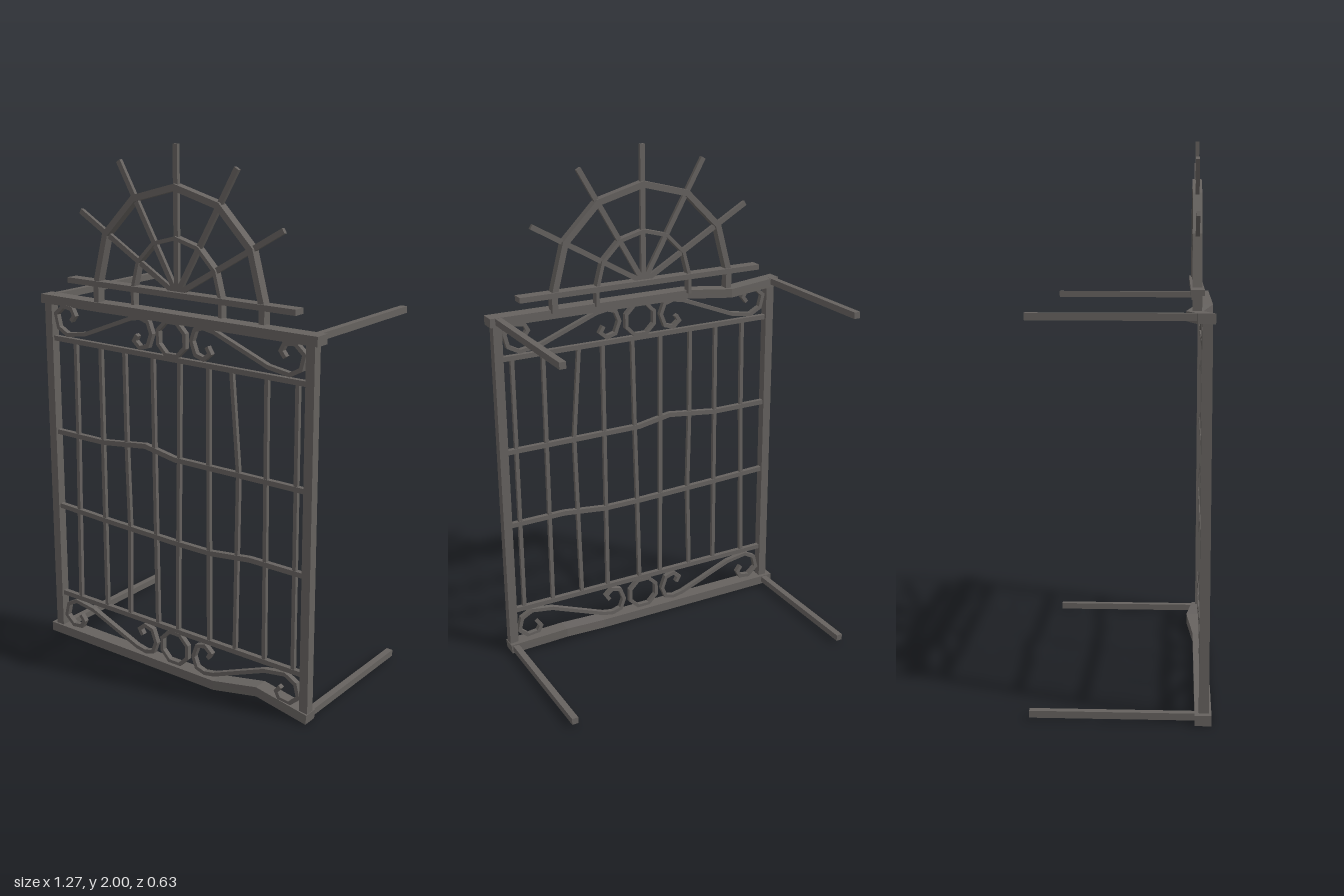
import * as THREE from 'three';

const material = new THREE.MeshStandardMaterial({ color: 0x66625f, flatShading: true });
const GRILLE_Z = 0.29, FAN_Z = 0.258;

// Sweeps a rectangular section (w in the xy plane, d along z) along a mitred path of [x, y, zOffset]
function bar(name, path, w, d, z = GRILLE_Z, closed = false) {
  const n = path.length, pos = [], index = [];
  const normal = (a, b) => new THREE.Vector2(a[1] - b[1], b[0] - a[0]).normalize();
  path.forEach((p, i) => {
    const prev = path[closed ? (i + n - 1) % n : Math.max(i - 1, 0)];
    const next = path[closed ? (i + 1) % n : Math.min(i + 1, n - 1)];
    const n1 = prev === p ? normal(p, next) : normal(prev, p);
    const n2 = next === p ? n1 : normal(p, next);
    const m = n1.clone().add(n2).normalize();
    m.multiplyScalar(w / 2 / Math.max(0.5, m.dot(n1)));
    const zc = z + (p[2] || 0);
    for (const [s, t] of [[1, 1], [-1, 1], [-1, -1], [1, -1]])
      pos.push(p[0] + m.x * s, p[1] + m.y * s, zc + t * d / 2);
  });
  for (let i = 0; i < (closed ? n : n - 1); i++)
    for (let k = 0; k < 4; k++) {
      const a = i * 4 + k, b = i * 4 + (k + 1) % 4;
      const c = ((i + 1) % n) * 4 + (k + 1) % 4, e = ((i + 1) % n) * 4 + k;
      index.push(a, b, c, a, c, e);
    }
  if (!closed) {
    const l = (n - 1) * 4;
    index.push(0, 2, 1, 0, 3, 2, l, l + 1, l + 2, l, l + 2, l + 3);
  }
  const g = new THREE.BufferGeometry();
  g.setAttribute('position', new THREE.Float32BufferAttribute(pos, 3));
  g.setIndex(index);
  const flat = g.toNonIndexed();
  flat.computeVertexNormals();
  const mesh = new THREE.Mesh(flat, material);
  mesh.name = name;
  return mesh;
}

function box(name, w, h, d, x, y, z) {
  const mesh = new THREE.Mesh(new THREE.BoxGeometry(w, h, d), material);
  mesh.position.set(x, y, z);
  mesh.name = name;
  return mesh;
}

function group(name, ...parts) {
  const g = new THREE.Group();
  g.name = name;
  g.add(...parts);
  return g;
}

// Outer frame: dented rails, posts and wall arms
function frame() {
  const g = group('frame',
    bar('topRail', [[-0.625, 1.398], [-0.38, 1.387, -0.037], [-0.2, 1.398], [0.63, 1.398]], 0.035, 0.06, 0.287),
    bar('bottomRail', [[-0.635, 0.02], [0.2, 0.021], [0.38, 0.043, -0.025], [0.615, 0.02]], 0.037, 0.058, 0.287));
  for (const s of [-1, 1]) {
    g.add(box('post', 0.035, 1.37, 0.035, s * 0.597, 0.71, GRILLE_Z));
    for (const y of [0.023, 1.402]) g.add(box('wallArm', 0.025, 0.025, 0.59, s * 0.597, y, -0.02));
  }
  return g;
}

// Slightly bent grille bars
function grille() {
  const g = group('grille');
  const crossBars = [
    [[-0.585, 1.245], [0.585, 1.245]],
    [[-0.585, 0.868], [-0.34, 0.868], [-0.13, 0.893], [0.01, 0.868], [0.585, 0.868]],
    [[-0.585, 0.558], [-0.3, 0.548], [0, 0.54], [0.17, 0.54], [0.35, 0.56], [0.585, 0.558]],
    [[-0.585, 0.18], [0.585, 0.18]],
  ];
  crossBars.forEach(p => g.add(bar('crossBar', p, 0.019, 0.019)));
  // x of each upright at heights 1.245, 0.87, 0.55 and 0.18
  const uprights = [
    [-0.472, -0.474, -0.481, -0.488], [-0.345, -0.345, -0.345, -0.345],
    [-0.226, -0.224, -0.216, -0.225], [-0.09, -0.088, -0.086, -0.083],
    [0.035, 0.029, 0.022, 0.016], [0.165, 0.165, 0.165, 0.165],
    [0.266, 0.297, 0.291, 0.284], [0.415, 0.415, 0.415, 0.415], [0.541, 0.541, 0.541, 0.541],
  ];
  const heights = [1.245, 0.87, 0.55, 0.18];
  uprights.forEach(u => g.add(bar('upright', u.map((x, i) => [x, heights[i]]), 0.015, 0.015)));
  return g;
}

// Scroll band: centre ring between mirrored S scrolls; the lower band is flipped
function scrollBand(name, mapY) {
  const scroll = [[-0.49, 1.322], [-0.473, 1.344], [-0.487, 1.37], [-0.53, 1.375], [-0.568, 1.342],
    [-0.555, 1.29], [-0.51, 1.266], [-0.42, 1.28], [-0.19, 1.37], [-0.145, 1.378], [-0.108, 1.367],
    [-0.092, 1.325], [-0.11, 1.277], [-0.147, 1.266], [-0.174, 1.289], [-0.16, 1.312]];
  const ring = Array.from({ length: 8 }, (_, i) => {
    const a = (i + 0.5) * Math.PI / 4;
    return [0.066 * Math.cos(a), mapY(1.319 + 0.066 * Math.sin(a))];
  });
  const g = group(name, bar('centreRing', ring, 0.014, 0.02, GRILLE_Z, true));
  for (const s of [1, -1]) g.add(bar('scroll', scroll.map(([x, y]) => [s * x, mapY(y)]), 0.015, 0.02));
  return g;
}

// Fan crest: two half rings, spokes and a base bar
function fan() {
  const base = 1.475;
  const g = group('fanCrest', box('fanBase', 1.035, 0.021, 0.047, 0.002, base, FAN_Z));
  for (const [r, w, d] of [[0.377, 0.024, 0.034], [0.2, 0.014, 0.03]]) {
    const path = [[-r, 1.405]];
    for (let i = 6; i >= 0; i--) {
      const a = i * Math.PI / 6;
      path.push([r * Math.cos(a), base + r * Math.sin(a)]);
    }
    path.push([r, 1.405]);
    g.add(bar('halfRing', path, w, d, FAN_Z));
  }
  for (let i = 1; i < 6; i++) {
    const a = i * Math.PI / 6;
    g.add(bar('spoke', [[0, base], [0.525 * Math.cos(a), base + 0.525 * Math.sin(a)]], 0.02, 0.014, FAN_Z));
  }
  return g;
}

export function createModel() {
  return group('windowGrille', frame(), grille(),
    scrollBand('upperScrolls', y => y), scrollBand('lowerScrolls', y => 1.425 - y), fan());
}
